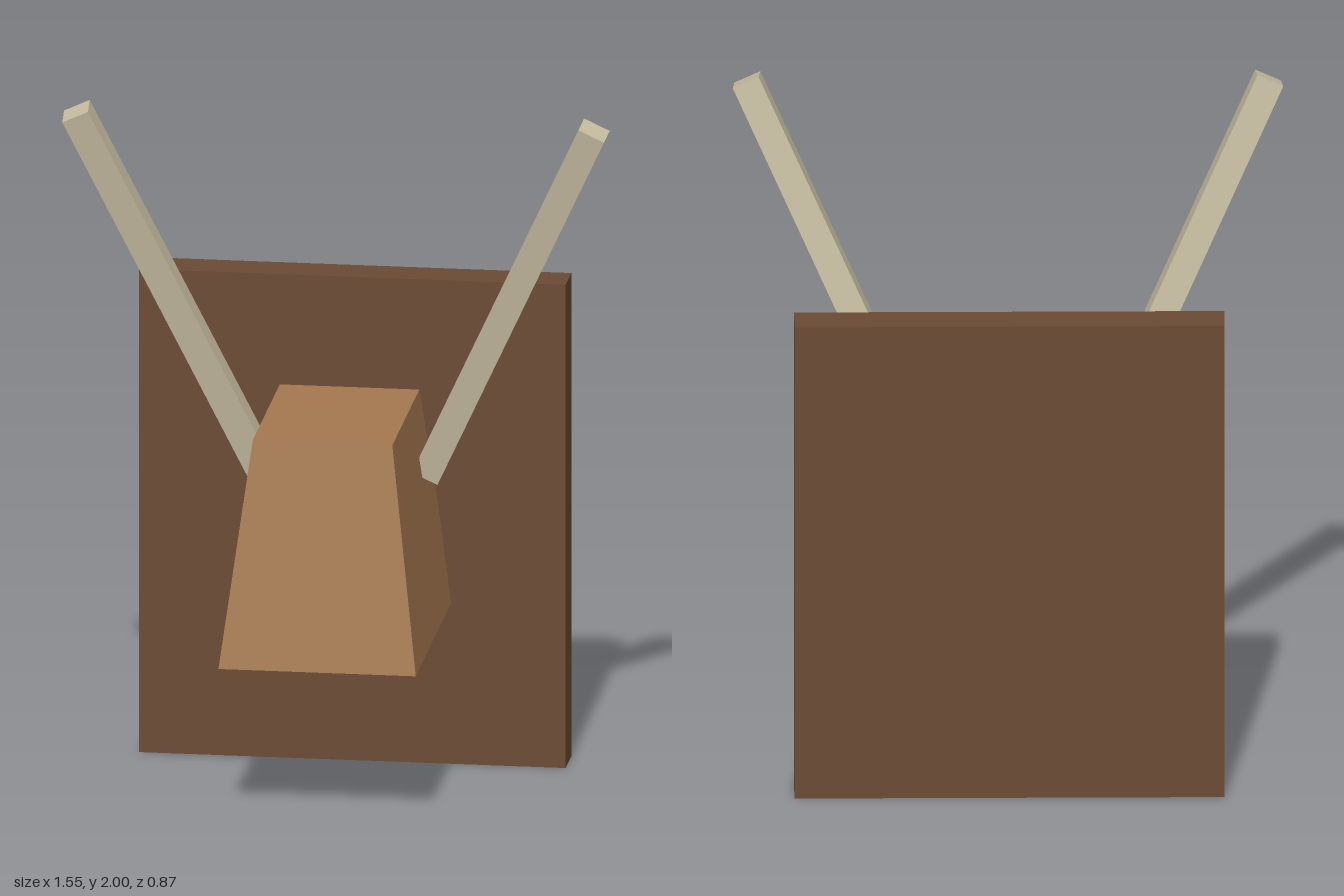
import * as THREE from 'three';

const material = (name, color) => {
  const m = new THREE.MeshStandardMaterial({ color });
  m.name = name;
  return m;
};

export function createModel() {
  const model = new THREE.Group();
  model.name = 'mountedTrophy';
  const darkWood = material('darkWood', 0x6a4b34);
  const tanHide = material('tanHide', 0xa5784f);
  const paleHorn = material('paleHorn', 0xc6bca0);

  const add = (name, geometry, mat) => {
    const mesh = new THREE.Mesh(geometry, mat);
    mesh.name = name;
    model.add(mesh);
    return mesh;
  };

  // Upright backing board
  add('backBoard', new THREE.BoxGeometry(1.21, 1.415, 0.12), darkWood)
    .position.set(0, 0.7075, -0.375);

  // Head block: a box narrowed towards its top
  const headGeo = new THREE.BoxGeometry(0.56, 0.64, 0.8);
  const p = headGeo.attributes.position;
  for (let i = 0; i < p.count; i++) {
    if (p.getY(i) > 0) {
      p.setX(i, Math.sign(p.getX(i)) * 0.198);
      p.setZ(i, Math.sign(p.getZ(i)) * 0.284);
    }
  }
  headGeo.computeVertexNormals();
  add('head', headGeo, tanHide).position.set(0, 0.79, 0.03);

  // Square antlers leaning outwards and forwards
  for (const [name, side] of [['leftAntler', 1], ['rightAntler', -1]]) {
    const base = new THREE.Vector3(side * 0.235, 0.897, -0.152);
    const tip = new THREE.Vector3(side * 0.735, 1.977, 0.052);
    const axis = tip.clone().sub(base);
    const length = axis.length();
    axis.normalize();
    const across = new THREE.Vector3(axis.y, -axis.x, 0).normalize();
    const forward = across.clone().cross(axis);
    const antler = add(name, new THREE.BoxGeometry(0.08, length, 0.08), paleHorn);
    antler.quaternion.setFromRotationMatrix(new THREE.Matrix4().makeBasis(across, axis, forward));
    antler.position.copy(base).add(tip).multiplyScalar(0.5);
  }
  return model;
}
